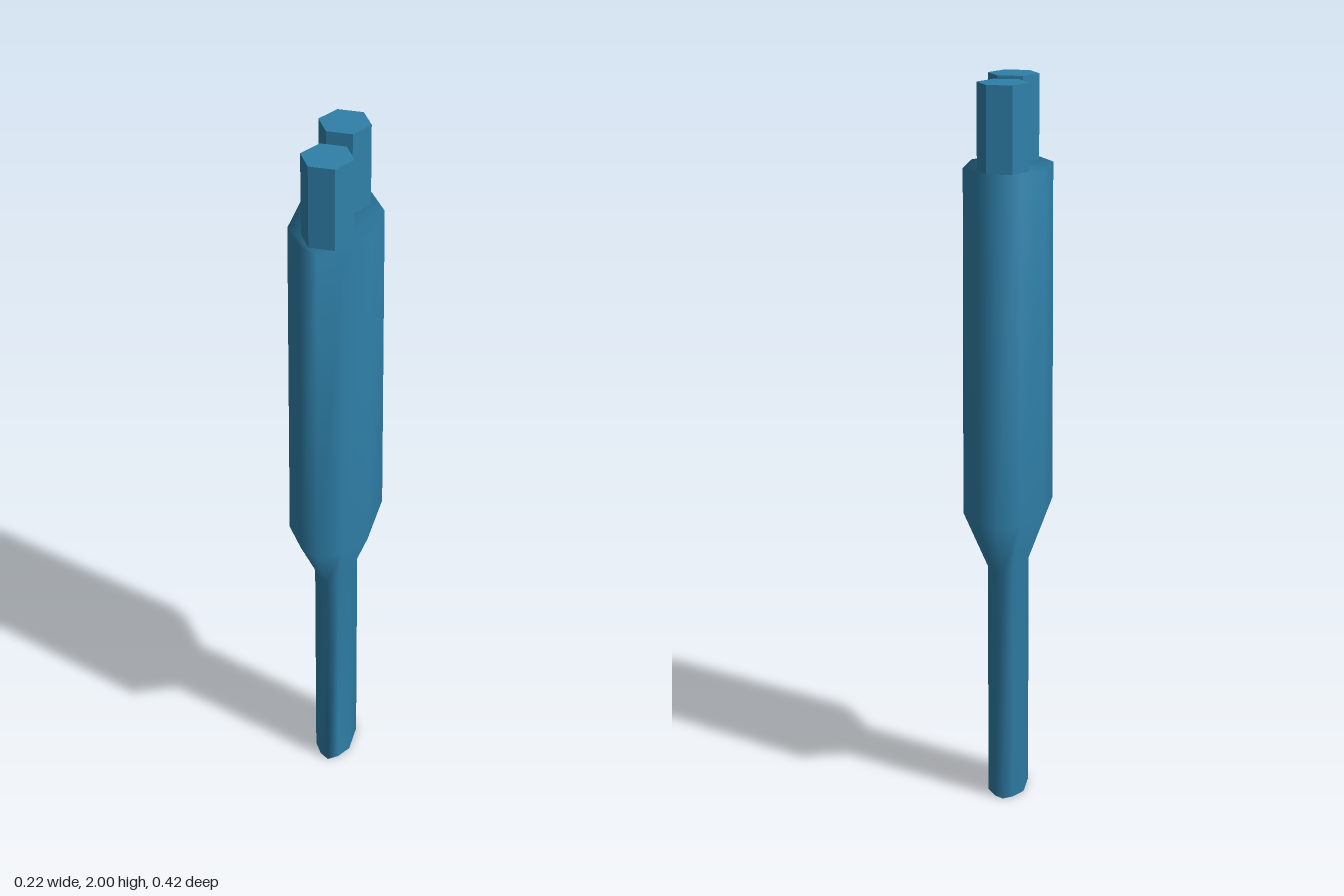
import * as THREE from 'three';

// One quarter of the pointed ten-sided section, from the +z tip to the +x flat.
const quarter = (x, tip, shoulder, flat) => [[0, tip], [x * 0.52, shoulder], [x, flat]];

// Mirror a quarter into a closed ring.
function ring([tip, shoulder, flat]) {
  const mz = ([x, z]) => [x, -z];
  const mx = ([x, z]) => [-x, z];
  const right = [tip, shoulder, flat, mz(flat), mz(shoulder)];
  const left = [mz(tip), mx(mz(shoulder)), mx(mz(flat)), mx(flat), mx(shoulder)];
  return [...right, ...left];
}

// Closed loft through rings; shared vertices keep the surface smooth.
function loft(sections) {
  const positions = [];
  const index = [];
  const n = 10;
  for (const [y, q] of sections) for (const [x, z] of ring(q)) positions.push(x, y, z);
  const last = (sections.length - 1) * n;
  for (let s = 0; s < last; s += n) {
    for (let i = 0; i < n; i++) {
      const a = s + i, b = s + (i + 1) % n;
      index.push(a, b, b + n, a, b + n, a + n);
    }
  }
  for (let i = 1; i < n - 1; i++) {
    index.push(0, i + 1, i);
    index.push(last, last + i, last + i + 1);
  }
  const geometry = new THREE.BufferGeometry();
  geometry.setAttribute('position', new THREE.Float32BufferAttribute(positions, 3));
  geometry.setIndex(index);
  geometry.computeVertexNormals();
  return geometry;
}

export function createModel() {
  const group = new THREE.Group();
  const blue = new THREE.MeshStandardMaterial({ color: 0x2f80a9 });
  blue.name = 'steel blue';

  // Slim stem, flared collar and slightly tapering body in one skin
  const stem = quarter(0.05, 0.104, 0.085, 0.044);
  const housing = new THREE.Mesh(loft([
    [0, stem],
    [0.665, stem],
    [0.83, quarter(0.11, 0.21, 0.171, 0.088)],
    [1.77, quarter(0.11, 0.194, 0.153, 0.07)],
  ]), blue);
  housing.name = 'housing';
  group.add(housing);

  // Two hexagonal pins on top
  const pinGeometry = new THREE.CylinderGeometry(0.069, 0.069, 0.23, 6).toNonIndexed();
  pinGeometry.rotateY(Math.PI / 6);
  pinGeometry.computeVertexNormals();
  for (const [name, z] of [['frontPin', 0.092], ['backPin', -0.092]]) {
    const pin = new THREE.Mesh(pinGeometry, blue);
    pin.name = name;
    pin.position.set(0, 1.885, z);
    group.add(pin);
  }
  return group;
}
